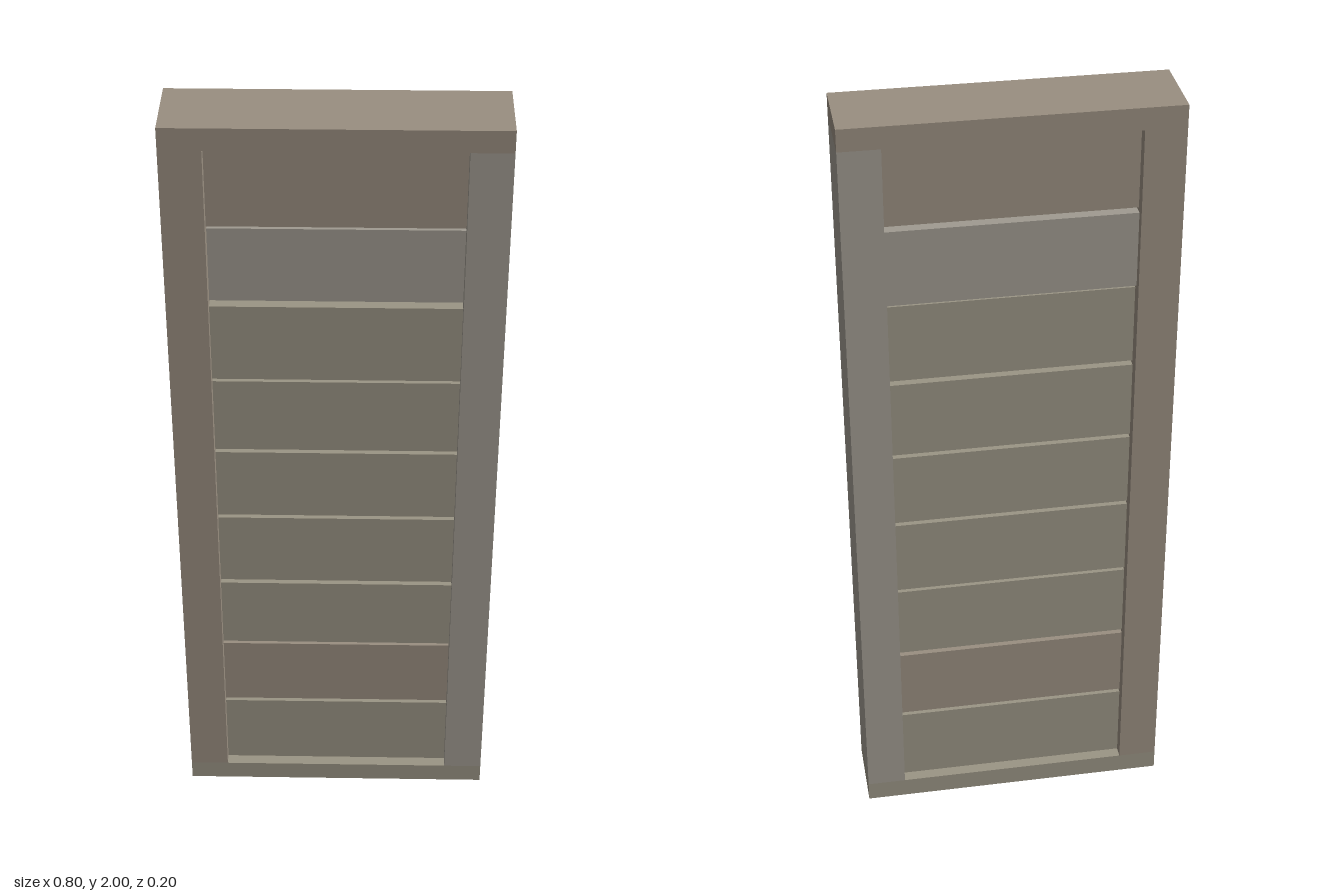
import * as THREE from 'three';

const BROWN = 0x9a8f81, GREY = 0xa09b91, OLIVE = 0x9b9585;

export function createModel() {
  const door = new THREE.Group();
  door.name = 'slattedDoor';

  // A plank given by its x, y and z extents
  function plank(name, color, [x0, x1], [y0, y1], [z0, z1]) {
    const mesh = new THREE.Mesh(
      new THREE.BoxGeometry(x1 - x0, y1 - y0, z1 - z0),
      new THREE.MeshStandardMaterial({ color })
    );
    mesh.position.set((x0 + x1) / 2, (y0 + y1) / 2, (z0 + z1) / 2);
    mesh.name = name;
    door.add(mesh);
  }

  // Frame: full-width rails with the stiles between them
  const depth = [-0.1, 0.1], bottom = 0.053, top = 1.945;
  plank('topRail', BROWN, [-0.4, 0.4], [top, 2], depth);
  plank('bottomRail', OLIVE, [-0.4, 0.4], [0, bottom], depth);
  plank('rightStile', BROWN, [-0.4, -0.3], [bottom, top], depth);
  plank('leftStile', GREY, [0.3, 0.4], [bottom, top], depth);

  // Horizontal slats from top to bottom, with narrow open gaps and slight depth shifts
  const gaps = [1.731, 1.527, 1.312, 1.1, 0.895, 0.682, 0.472, 0.266];
  const colors = [BROWN, GREY, OLIVE, OLIVE, OLIVE, OLIVE, OLIVE, BROWN, OLIVE];
  const shifts = [0, -0.008, 0.004, 0, 0, 0, 0.002, 0, 0];
  const halfGap = 0.005, halfThickness = 0.07;
  colors.forEach((color, i) => {
    const y1 = i === 0 ? top : gaps[i - 1] - halfGap;
    const y0 = i === gaps.length ? bottom : gaps[i] + halfGap;
    plank('slat' + (i + 1), color, [-0.3, 0.3], [y0, y1],
      [shifts[i] - halfThickness, shifts[i] + halfThickness]);
  });

  return door;
}
